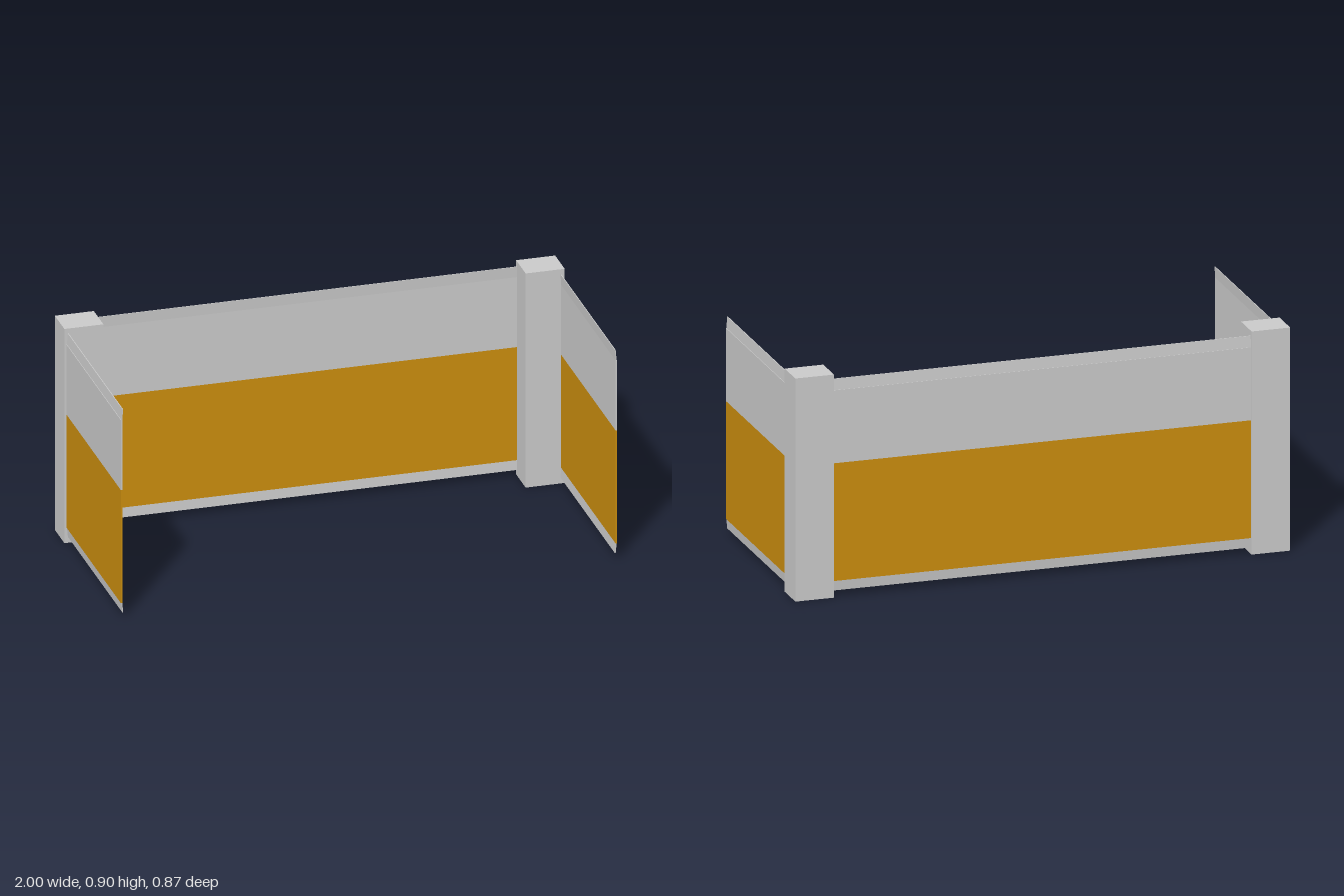
import * as THREE from 'three';

export function createModel() {
  const model = new THREE.Group();
  const grey = new THREE.MeshStandardMaterial({ color: 0xcacaca });
  grey.name = 'light grey';
  const gold = new THREE.MeshStandardMaterial({ color: 0xca8d0e });
  gold.name = 'golden yellow';

  // Horizontal strip: side section (depth outward, height) run along a length
  function strip(name, points, length, material) {
    const shape = new THREE.Shape(points.map(([u, y]) => new THREE.Vector2(u, y)));
    const geometry = new THREE.ExtrudeGeometry(shape, { depth: length, bevelEnabled: false });
    geometry.translate(0, 0, -length / 2);
    const mesh = new THREE.Mesh(geometry, material);
    mesh.name = name;
    return mesh;
  }

  // Two-tone wall with narrow lipped rails; its outer side faces local +x
  function wall(name, length) {
    const group = new THREE.Group();
    group.name = name;
    const t = 0.003;
    group.add(
      strip('lowerPanel', [[-t, 0.065], [t, 0.065], [t, 0.54], [-t, 0.54]], length, gold),
      strip('upperPanel', [[-t, 0.54], [t, 0.54], [t, 0.834], [-t, 0.834]], length, grey),
      strip('topRail', [[-t, 0.834], [0.001, 0.834], [-0.003, 0.879], [-0.006, 0.879]], length, grey),
      strip('bottomRail', [[-0.006, 0.025], [-0.003, 0.025], [0.001, 0.065], [-t, 0.065]], length, grey)
    );
    return group;
  }

  // Back wall between the posts
  const back = wall('backWall', 1.69);
  back.rotation.y = Math.PI / 2;
  back.position.z = -0.426;
  model.add(back);

  // Corner posts and the side walls running forward from them
  for (const side of [-1, 1]) {
    const prefix = side > 0 ? 'left' : 'right';
    const post = new THREE.Mesh(new THREE.BoxGeometry(0.156, 0.9, 0.13), grey);
    post.name = prefix + 'Post';
    post.position.set(side * 0.922, 0.45, -0.37);
    model.add(post);

    const sideWall = wall(prefix + 'Wall', 0.74);
    sideWall.rotation.y = side > 0 ? 0 : Math.PI;
    sideWall.position.set(side * 0.989, 0, 0.065);
    model.add(sideWall);
  }
  return model;
}
